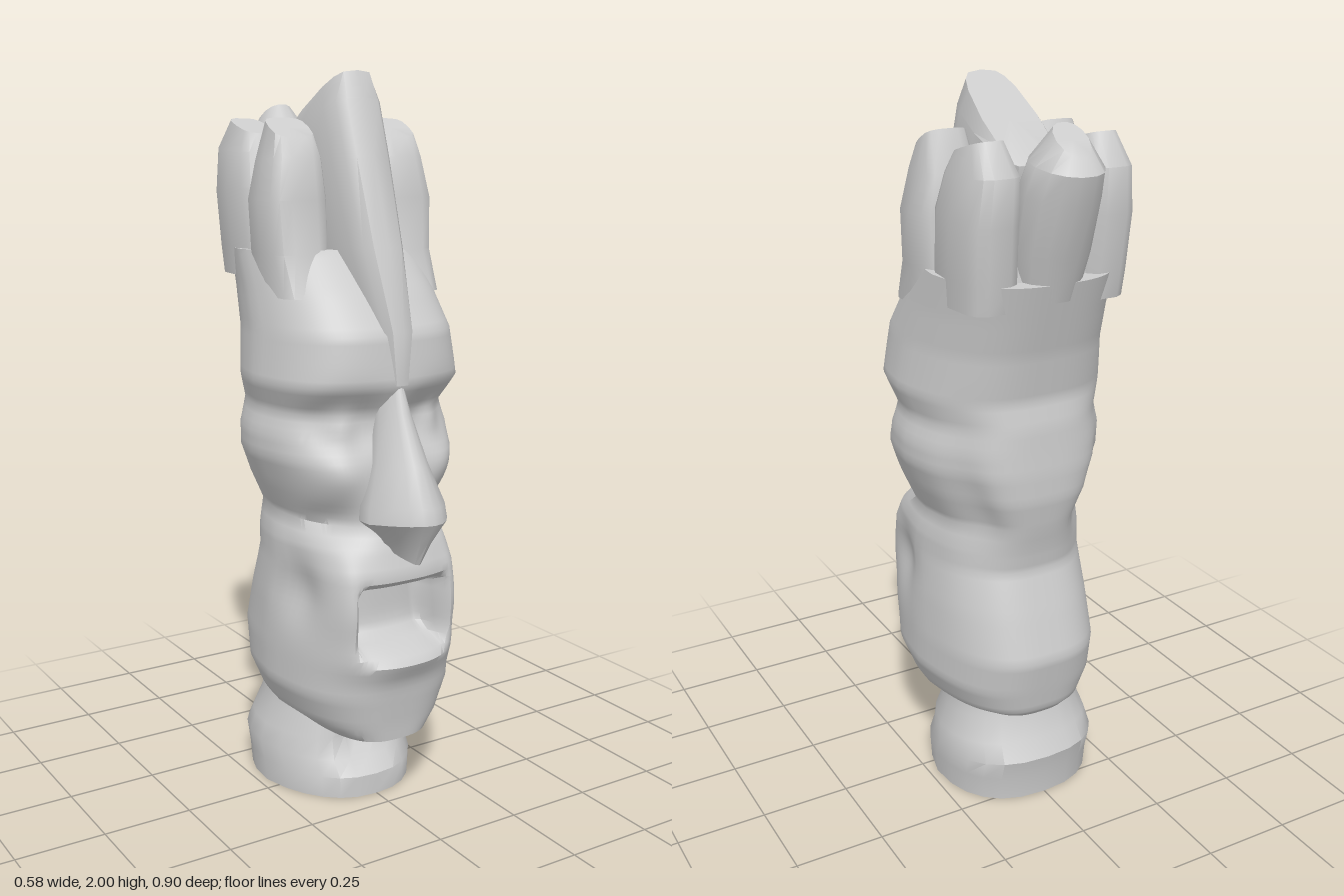
import * as THREE from 'three';
import { toCreasedNormals } from 'three/addons/utils/BufferGeometryUtils.js';

const material = new THREE.MeshStandardMaterial({ color: 0xcccccc, side: THREE.DoubleSide });
const { smoothstep, lerp } = THREE.MathUtils;

// Loft through rings [yFront, yBack, halfWidth, zFront, zBack, centreX = 0].
// power: squareness; taperF / taperB: narrowing toward front / back.
function loft(name, rings, { sides = 16, steps = 1, power = 3, taperF = 0, taperB = 0, carve, crease = 0.7 } = {}) {
  const rows = [];
  rings.forEach((r, i) => {
    if (i === rings.length - 1) { rows.push(r); return; }
    const n = Math.max(1, Math.round(steps === 1 ? 1 : (rings[i + 1][0] - r[0]) * steps));
    for (let k = 0; k < n; k++) rows.push(r.map((v, c) => lerp(v, rings[i + 1][c], k / n)));
  });
  const pos = [], idx = [];
  const root = (v) => Math.sign(v) * Math.abs(v) ** (2 / power);
  for (const [yf, yb, hw, zf, zb, cx = 0] of rows) {
    for (let j = 0; j < sides; j++) {
      const t = (j / sides) * Math.PI * 2;
      const s = root(Math.sin(t));
      const width = hw * (1 - (s > 0 ? taperF * s : -taperB * s));
      const p = new THREE.Vector3(cx + width * root(Math.cos(t)), lerp(yb, yf, (s + 1) / 2), lerp(zb, zf, (s + 1) / 2));
      if (carve) carve(p);
      pos.push(p.x, p.y, p.z);
    }
  }
  const last = (rows.length - 1) * sides;
  for (let i = 0; i < rows.length - 1; i++) {
    for (let j = 0; j < sides; j++) {
      const a = i * sides + j, b = i * sides + (j + 1) % sides;
      idx.push(a, a + sides, b, b, a + sides, b + sides);
    }
  }
  // End caps
  for (const [r, start, top] of [[rows[0], 0, false], [rows[rows.length - 1], last, true]]) {
    const c = pos.length / 3;
    pos.push(r[5] ?? 0, (r[0] + r[1]) / 2, (r[3] + r[4]) / 2);
    for (let j = 0; j < sides; j++) {
      const a = start + j, b = start + (j + 1) % sides;
      idx.push(c, top ? b : a, top ? a : b);
    }
  }
  const g = new THREE.BufferGeometry();
  g.setAttribute('position', new THREE.Float32BufferAttribute(pos, 3));
  g.setIndex(idx);
  const mesh = new THREE.Mesh(toCreasedNormals(g, crease), material);
  mesh.name = name;
  return mesh;
}

const blob = (x, y, cx, cy, rx, ry) => Math.exp(-(((x - cx) / rx) ** 2) - ((y - cy) / ry) ** 2);

// Facial relief: mouth, lips, eye sockets, eyelids, cheeks
function carveFace(p) {
  const ax = Math.abs(p.x), y = p.y;
  const front = smoothstep(p.z, 0.0, 0.2);
  const mouth = (1 - smoothstep(ax, 0.11, 0.15)) * smoothstep(y, 0.46, 0.51) * (1 - smoothstep(y, 0.64, 0.67));
  let d = -0.11 * mouth;
  d += 0.035 * blob(ax, y, 0, 0.46, 0.16, 0.05);
  d += 0.03 * blob(ax, y, 0.17, 0.6, 0.04, 0.12);
  d -= 0.05 * blob(ax, y, 0.14, 1.1, 0.1, 0.075);
  d += 0.035 * blob(ax, y, 0.14, 1.09, 0.045, 0.05);
  d += 0.025 * blob(ax, y, 0.17, 0.97, 0.07, 0.06);
  d -= 0.04 * blob(ax, y, 0.17, 0.83, 0.07, 0.05);
  p.z += d * front;
  // Dents behind the mouth corners and along the back of the cheeks
  const dent = 0.03 * blob(p.z, y, 0.14, 0.63, 0.08, 0.09) + 0.03 * blob(p.z, y, -0.2, 0.9, 0.06, 0.2);
  p.x -= Math.sign(p.x) * Math.min(dent, ax * 0.3);
}

export function createModel() {
  const model = new THREE.Group();
  model.name = 'carvedTotem';

  // Pedestal, hollow underneath, with a notch in front
  model.add(loft('pedestal', [
    [0.07, 0.07, 0.07, 0.04, -0.14],
    [0.05, 0.05, 0.11, 0.08, -0.17],
    [0.0, 0.0, 0.17, 0.13, -0.23],
    [0.0, 0.0, 0.225, 0.19, -0.29],
    [0.06, 0.07, 0.23, 0.19, -0.295],
    [0.1, 0.13, 0.23, 0.16, -0.31],
    [0.16, 0.18, 0.22, 0.15, -0.28],
    [0.21, 0.25, 0.195, 0.13, -0.25],
    [0.27, 0.3, 0.19, 0.12, -0.24],
  ], {
    sides: 24, power: 2.4, taperF: 0.2,
    carve: (p) => { if (p.z > 0.1) p.z -= 0.06 * blob(p.x, p.y, 0, 0.16, 0.08, 0.05); },
  }));

  // Head with carved face
  model.add(loft('head', [
    [0.205, 0.25, 0.13, 0.27, -0.23],
    [0.215, 0.26, 0.17, 0.305, -0.27],
    [0.26, 0.28, 0.215, 0.31, -0.285],
    [0.35, 0.35, 0.25, 0.325, -0.3],
    [0.45, 0.45, 0.25, 0.335, -0.32],
    [0.58, 0.58, 0.247, 0.335, -0.28],
    [0.7, 0.7, 0.24, 0.335, -0.24],
    [0.77, 0.76, 0.235, 0.31, -0.25],
    [0.82, 0.84, 0.215, 0.285, -0.27],
    [0.92, 0.92, 0.255, 0.28, -0.285],
    [1.0, 1.0, 0.285, 0.275, -0.285],
    [1.06, 1.06, 0.285, 0.265, -0.28],
    [1.12, 1.13, 0.265, 0.265, -0.275],
    [1.2, 1.2, 0.29, 0.3, -0.26],
    [1.33, 1.33, 0.272, 0.285, -0.285],
    [1.43, 1.43, 0.26, 0.21, -0.315],
    [1.54, 1.53, 0.25, 0.11, -0.345],
  ], { sides: 96, steps: 50, power: 2.9, taperB: 0.16, taperF: 0.08, carve: carveFace, crease: 0.9 }));

  // Nose: narrow bridge, flared nostrils, hanging tip
  model.add(loft('nose', [
    [0.735, 0.79, 0.04, 0.385, 0.2],
    [0.8, 0.81, 0.07, 0.42, 0.2],
    [0.86, 0.84, 0.12, 0.455, 0.2],
    [0.9, 0.88, 0.115, 0.445, 0.2],
    [1.0, 1.0, 0.075, 0.39, 0.2],
    [1.13, 1.13, 0.045, 0.32, 0.2],
    [1.22, 1.22, 0.025, 0.285, 0.2],
  ], { sides: 16, power: 2.5, taperF: 0.5 }));

  // Tall crest running from the brow to the top
  model.add(loft('frontCrest', [
    [1.2, 1.2, 0.035, 0.305, 0.1],
    [1.34, 1.34, 0.06, 0.305, 0.0],
    [1.55, 1.55, 0.085, 0.235, -0.12],
    [1.78, 1.72, 0.095, 0.16, -0.2],
    [1.93, 1.8, 0.095, 0.11, -0.225],
    [2.0, 1.8, 0.08, 0.08, -0.225],
  ], { sides: 16, power: 3.6, taperF: 0.15 }));

  // Rear crest leaning backward
  model.add(loft('rearCrest', [
    [1.48, 1.48, 0.08, -0.2, -0.335],
    [1.6, 1.6, 0.1, -0.2, -0.375],
    [1.76, 1.74, 0.1, -0.21, -0.43],
    [1.84, 1.81, 0.09, -0.25, -0.45],
    [1.92, 1.85, 0.045, -0.32, -0.42],
  ], { sides: 14, power: 2.3, taperB: 0.15 }));

  // Filled core between the crown lobes
  model.add(loft('crownCore', [
    [1.48, 1.48, 0.22, 0.06, -0.3],
    [1.74, 1.7, 0.2, 0.02, -0.26],
  ], { sides: 16, power: 4 }));

  // Paired side lobes of the crown
  for (const side of [1, -1]) {
    const label = side > 0 ? 'left' : 'right';
    model.add(loft(label + 'FrontLobe', [
      [1.42, 1.42, 0.08, 0.15, -0.1, side * 0.165],
      [1.53, 1.53, 0.085, 0.1, -0.1, side * 0.165],
      [1.67, 1.67, 0.09, 0.09, -0.1, side * 0.167],
      [1.78, 1.77, 0.075, 0.07, -0.09, side * 0.16],
      [1.83, 1.88, 0.06, 0.04, -0.045, side * 0.16],
    ], { sides: 14, power: 3.5 }));
    model.add(loft(label + 'RearLobe', [
      [1.46, 1.46, 0.075, -0.05, -0.3, side * 0.16],
      [1.55, 1.53, 0.08, -0.06, -0.31, side * 0.16],
      [1.7, 1.68, 0.08, -0.08, -0.325, side * 0.165],
      [1.79, 1.8, 0.07, -0.11, -0.33, side * 0.16],
      [1.84, 1.88, 0.05, -0.14, -0.27, side * 0.16],
    ], { sides: 14, power: 3.5, taperB: 0.1 }));
  }
  return model;
}
